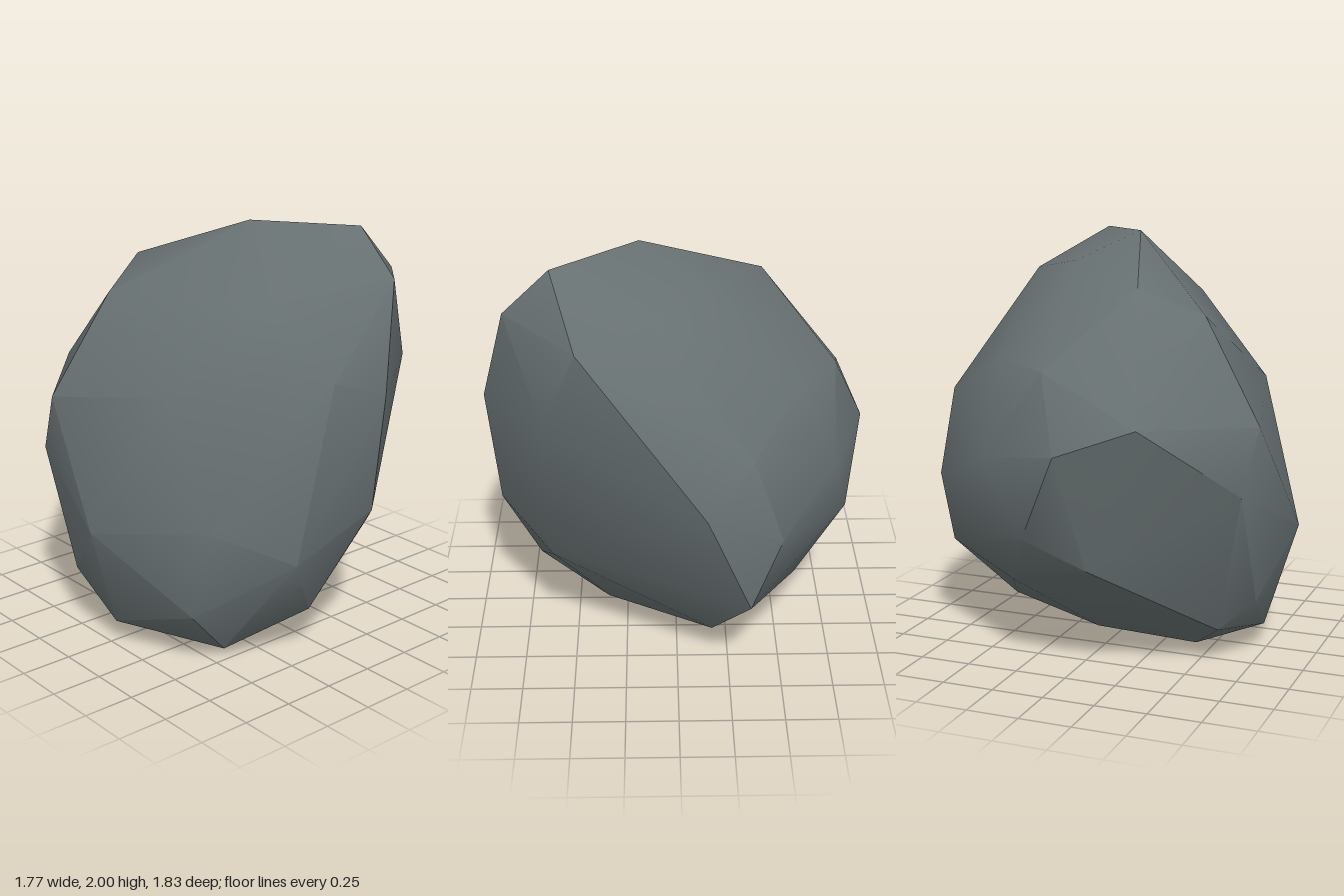
import * as THREE from 'three';
import { ConvexGeometry } from 'three/addons/geometries/ConvexGeometry.js';
import { toCreasedNormals } from 'three/addons/utils/BufferGeometryUtils.js';

// Corners of the boulder, grouped from the crown down to the base
const crown = [
  [-0.02, 2, 0.17], [0.31, 1.99, 0.57], [0.31, 1.78, 0.79], [0.65, 1.73, 0.45],
  [-0.23, 1.78, -0.42], [-0.51, 1.65, -0.28], [0.2, 1.87, -0.12], [0.5, 1.81, 0.1],
  [-0.23, 1.68, 0.515],
];
const shoulder = [
  [0.15, 1.29, 0.915], [-0.11, 1.38, 0.85], [-0.8, 1.17, -0.36], [-0.38, 1.21, -0.83],
  [0.1, 1.43, -0.76], [0.4, 1.45, -0.56], [0.76, 1.25, -0.34], [0.58, 1.34, 0.61],
  [-0.63, 1.29, 0.32],
];
const belly = [
  [0.885, 1.02, -0.13], [-0.64, 0.73, 0.62], [-0.885, 0.62, 0.05], [-0.76, 0.87, -0.5],
  [-0.02, 1.08, -0.915], [0.4, 1.02, -0.75], [0.77, 0.85, -0.48], [0.17, 0.67, -0.84],
  [-0.3, 0.55, 0.83], [0.14, 0.72, 0.86],
];
const foot = [
  [0.78, 0.48, -0.34], [0.34, 0.39, -0.58], [-0.11, 0.53, -0.76], [-0.765, 0.31, -0.25],
  [-0.66, 0.29, 0.52], [-0.1, 0.23, 0.7], [0.52, 0.18, -0.17], [0.38, 0.53, 0.6],
];
const base = [
  [-0.73, 0.11, 0.02], [-0.43, 0.04, 0.47], [-0.02, 0, 0.35], [-0.42, 0.01, -0.1],
  [0.1, 0.03, -0.1], [-0.6, 0.17, -0.32],
];

export function createModel() {
  const group = new THREE.Group();
  group.name = 'rock';

  const stone = new THREE.MeshStandardMaterial({ color: 0x677071 });
  stone.name = 'grey stone';

  // Chipped convex body: gentle bends shade smoothly, sharp ridges stay crisp
  const corners = [crown, shoulder, belly, foot, base].flat().map((p) => new THREE.Vector3(...p));
  const boulder = new THREE.Mesh(toCreasedNormals(new ConvexGeometry(corners), 0.58), stone);
  boulder.name = 'boulder';
  group.add(boulder);

  return group;
}
